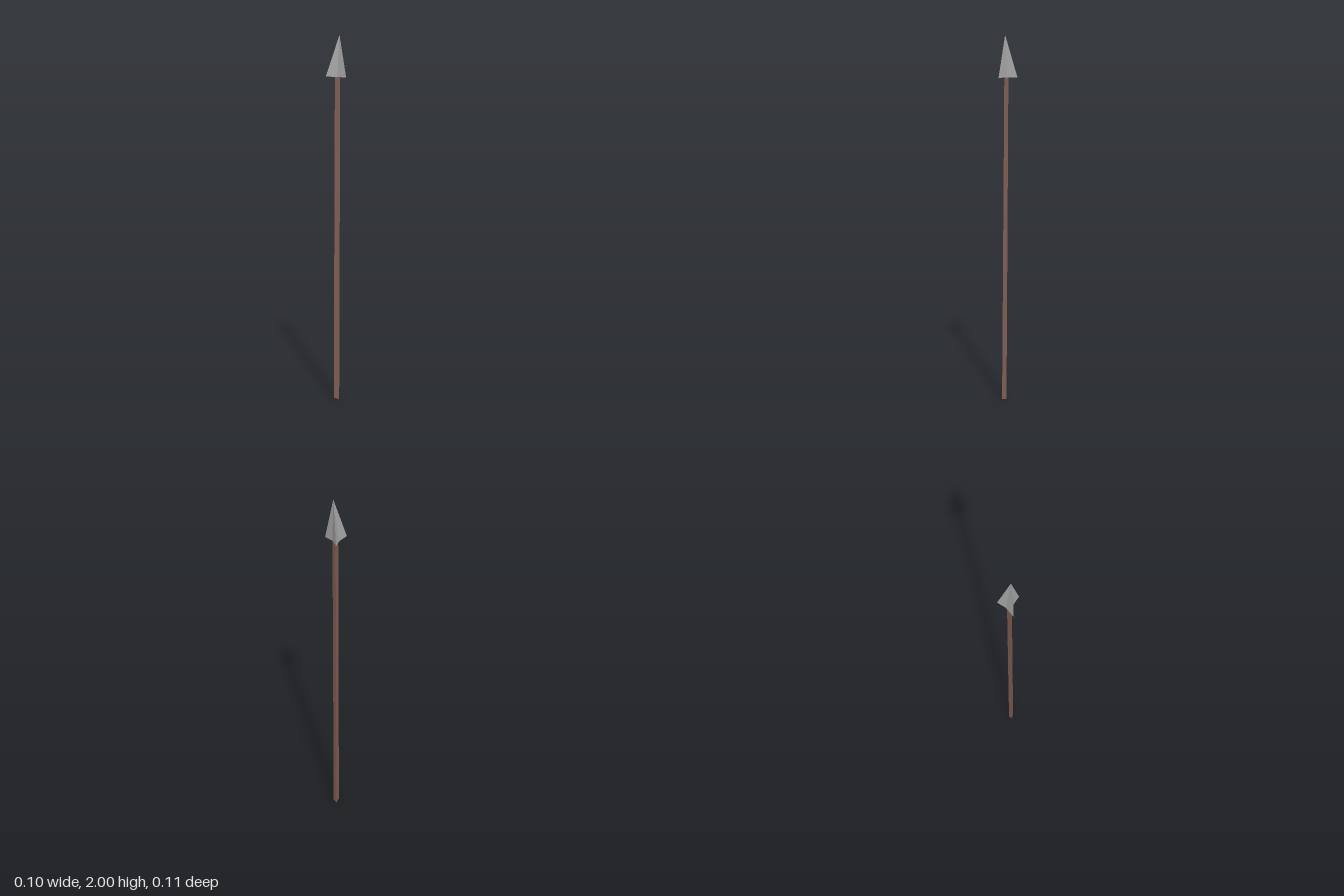
import * as THREE from 'three';

// Flat-faceted solid between two rings of [x, y, z] corners (counterclockwise from above);
// a top ring with a single corner closes to a point.
function loft(name, color, bottom, top) {
  const n = bottom.length;
  const pos = [];
  const tri = (a, b, c) => pos.push(...a, ...b, ...c);
  const centre = (ring) => [0, 1, 2].map((k) => ring.reduce((s, p) => s + p[k], 0) / ring.length);
  const low = centre(bottom), high = centre(top);
  for (let i = 0; i < n; i++) {
    const j = (i + 1) % n;
    tri(low, bottom[j], bottom[i]);
    if (top.length === 1) {
      tri(bottom[i], bottom[j], top[0]);
    } else {
      tri(bottom[i], bottom[j], top[j]);
      tri(bottom[i], top[j], top[i]);
      tri(high, top[i], top[j]);
    }
  }
  const geometry = new THREE.BufferGeometry();
  geometry.setAttribute('position', new THREE.Float32BufferAttribute(pos, 3));
  geometry.computeVertexNormals();
  const mesh = new THREE.Mesh(geometry, new THREE.MeshStandardMaterial({ color, flatShading: true }));
  mesh.name = name;
  return mesh;
}

export function createModel() {
  const group = new THREE.Group();
  group.name = 'arrow';

  // Slightly leaning three-sided wooden shaft with an uneven cut end
  group.add(loft('shaft', 0x7e5c50,
    [[-0.01, 0.012, 0.017], [0.019, 0.004, 0.028], [0.011, 0, 0.001]],
    [[-0.002, 1.785, 0.006], [0.025, 1.785, 0.016], [0.017, 1.785, -0.008]]));

  // Three-bladed head: blade corners alternate with hollows, rising to a point
  group.add(loft('arrowhead', 0xa0a0a0,
    [[-0.052, 1.782, 0.016], [0.009, 1.78, 0.021], [0.051, 1.777, 0.053],
      [0.03, 1.778, 0.002], [0.031, 1.778, -0.054], [0, 1.78, -0.016]],
    [[0.022, 2, 0.011]]));

  return group;
}
